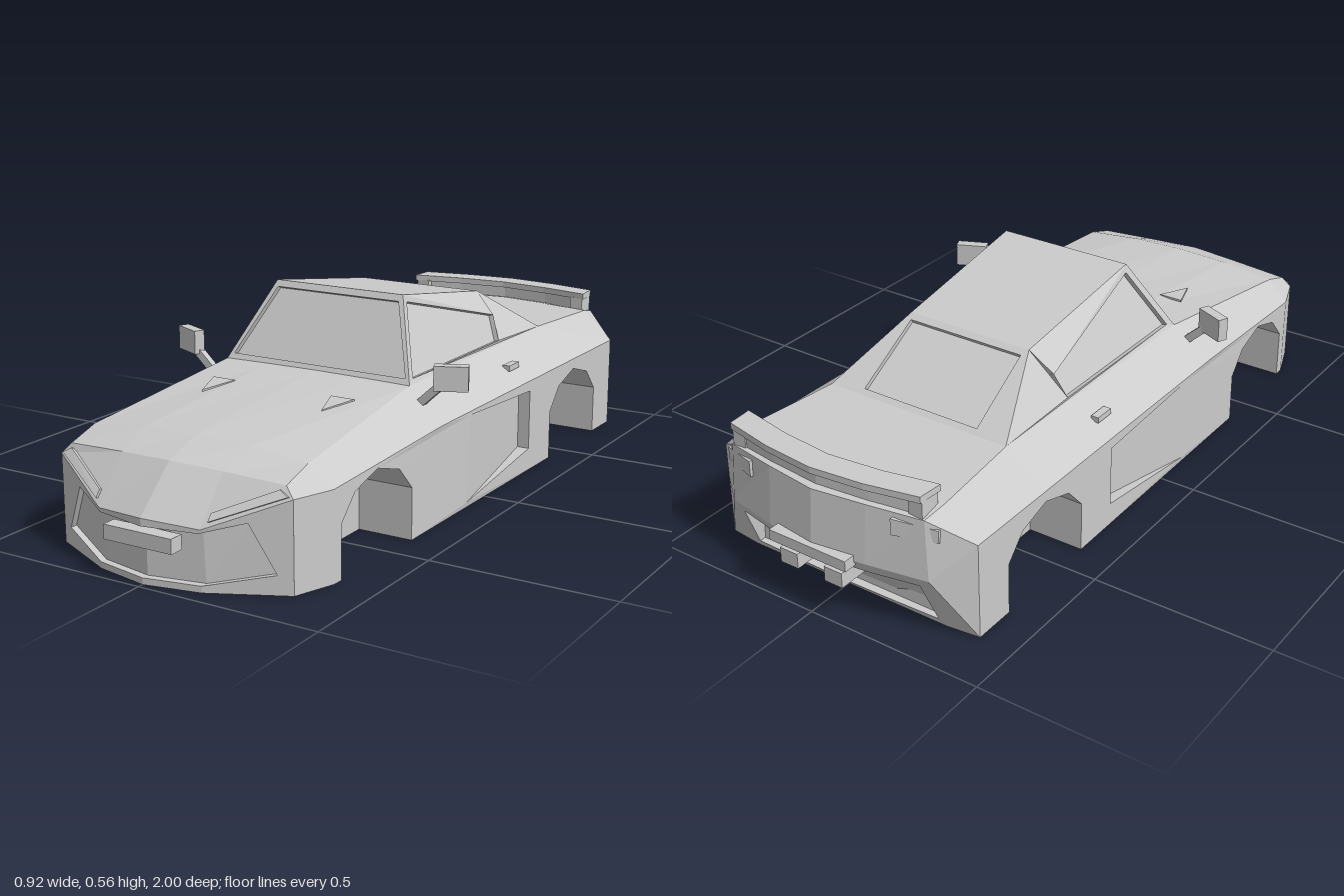
import * as THREE from 'three';

const material = new THREE.MeshStandardMaterial({ color: 0xcccccc, flatShading: true, side: THREE.DoubleSide });

function add(parent, name, geometry, x = 0, y = 0, z = 0) {
  const mesh = new THREE.Mesh(geometry, material);
  mesh.name = name;
  mesh.position.set(x, y, z);
  parent.add(mesh);
  return mesh;
}
const box = (w, h, d) => new THREE.BoxGeometry(w, h, d);

// Flat-faced geometry from four-cornered faces
function fromQuads(quads) {
  const pos = [];
  for (const [a, b, c, d] of quads) pos.push(...a, ...b, ...c, ...a, ...c, ...d);
  const g = new THREE.BufferGeometry();
  g.setAttribute('position', new THREE.Float32BufferAttribute(pos, 3));
  g.computeVertexNormals();
  return g;
}

// Points given from the centre line outwards, completed from -x to +x
const mirror = half => [...half.slice(1).reverse().map(([x, y, z]) => [-x, y, z]), ...half];

// Skin over a series of symmetrical cross-sections
function sheet(halfRows) {
  const rows = halfRows.map(mirror), quads = [];
  for (let i = 0; i < rows.length - 1; i++)
    for (let j = 0; j < rows[i].length - 1; j++)
      quads.push([rows[i][j], rows[i][j + 1], rows[i + 1][j + 1], rows[i + 1][j]]);
  return fromQuads(quads);
}

// Panel between a top and a bottom chain, pushed in or out with its side walls
function panelQuads(top, bottom, off) {
  const move = p => p.map((v, k) => v + off[k]);
  const T = top.map(move), B = bottom.map(move), quads = [];
  const rim = [...top, ...[...bottom].reverse()], face = rim.map(move);
  for (let i = 0; i < T.length - 1; i++) quads.push([B[i], B[i + 1], T[i + 1], T[i]]);
  rim.forEach((p, i) => {
    const k = (i + 1) % rim.length;
    quads.push([p, face[i], face[k], rim[k]]);
  });
  return quads;
}
const panel = (...args) => fromQuads(panelQuads(...args));

// Frame around a recessed panel
function framed(outT, outB, inT, inB, off) {
  const o = [...outT, ...[...outB].reverse()], n = [...inT, ...[...inB].reverse()];
  const ring = o.map((p, i) => {
    const k = (i + 1) % o.length;
    return [p, n[i], n[k], o[k]];
  });
  return fromQuads([...ring, ...panelQuads(inT, inB, off)]);
}

// Lower side wall with wheel arches and a door scoop opening (made on -x)
function sideWall() {
  const s = new THREE.Shape();
  s.moveTo(-0.85, 0);
  for (const c of [-0.57, 0.56])
    for (const [z, y] of [[-0.16, 0], [-0.16, 0.14], [-0.1, 0.205], [0, 0.235], [0.1, 0.205], [0.16, 0.14], [0.16, 0]])
      s.lineTo(c + z, y);
  s.lineTo(0.75, 0);
  s.lineTo(0.75, 0.235);
  s.lineTo(0.25, 0.265);
  s.lineTo(-0.85, 0.265);
  s.holes.push(new THREE.Path([[0.11, 0.015], [0.1, 0.255], [-0.27, 0.235], [-0.27, 0.065]].map(p => new THREE.Vector2(...p))));
  const g = new THREE.ExtrudeGeometry(s, { depth: 0.16, bevelEnabled: false });
  g.rotateY(-Math.PI / 2).translate(-0.24, 0, 0);
  const p = g.attributes.position;
  for (let i = 0; i < p.count; i++)
    if (p.getX(i) < -0.3) p.setX(i, -0.4 + 0.03 * Math.max(0, p.getZ(i) - 0.25));
  g.computeVertexNormals();
  return g;
}

// Horizontal slab from a half plan outline
function slab(half, y, height) {
  const pts = [...half, ...[...half].reverse().map(([x, z]) => [-x, z])];
  const s = new THREE.Shape(pts.map(([x, z]) => new THREE.Vector2(x, -z)));
  return new THREE.ExtrudeGeometry(s, { depth: height, bevelEnabled: false }).rotateX(-Math.PI / 2).translate(0, y, 0);
}

export function createModel() {
  const car = new THREE.Group();
  car.name = 'car';

  // Hood, shoulders, rear deck and upper tail
  add(car, 'upperBody', sheet([
    [[0, 0.165, 0.985], [0.15, 0.155, 0.955], [0.345, 0.235, 0.86], [0.385, 0.235, 0.75]],
    [[0, 0.275, 0.87], [0.15, 0.27, 0.86], [0.32, 0.262, 0.85], [0.385, 0.235, 0.75]],
    [[0, 0.312, 0.76], [0.16, 0.307, 0.76], [0.32, 0.29, 0.76], [0.385, 0.235, 0.75]],
    [[0, 0.353, 0.25], [0.15, 0.352, 0.25], [0.29, 0.35, 0.23], [0.4, 0.265, 0.25]],
    [[0, 0.35, -0.57], [0.15, 0.35, -0.57], [0.28, 0.35, -0.57], [0.4, 0.265, -0.57]],
    [[0, 0.35, -0.9], [0.15, 0.35, -0.88], [0.31, 0.35, -0.85], [0.4, 0.265, -0.85]],
    [[0, 0.34, -0.97], [0.15, 0.34, -0.95], [0.3, 0.335, -0.92], [0.4, 0.265, -0.85]],
    [[0, 0.18, -0.985], [0.15, 0.18, -0.965], [0.31, 0.17, -0.925], [0.4, 0.17, -0.85]],
  ]));

  // Front bumper with sunken intake
  const frontZ = x => (x < 0.15 ? 0.985 - 0.2 * x : 0.955 - (x - 0.15) * 0.487);
  const front = pts => mirror(pts.map(([x, y]) => [x, y, frontZ(x)]));
  add(car, 'frontBumper', framed(
    front([[0, 0.165], [0.15, 0.155], [0.345, 0.235]]), front([[0, 0], [0.15, 0], [0.345, 0]]),
    front([[0, 0.145], [0.145, 0.145], [0.25, 0.175]]), front([[0, 0.017], [0.15, 0.017], [0.31, 0.05]]),
    [0, 0, -0.02]));
  add(car, 'frontPlate', box(0.2, 0.038, 0.04), 0, 0.118, 0.98);

  // Undercut rear bumper with sunken diffuser
  const rearZ = (x, y) => {
    const top = x < 0.15 ? -0.985 + 0.133 * x : -0.965 + (x - 0.15) * 0.25;
    return -0.86 + (top + 0.86) * Math.min(1, y / 0.17);
  };
  const rear = pts => mirror(pts.map(([x, y]) => [x, y, rearZ(x, y)])).reverse();
  add(car, 'rearBumper', framed(
    rear([[0, 0.18], [0.15, 0.18], [0.31, 0.17]]), rear([[0, 0], [0.15, 0], [0.31, 0]]),
    rear([[0, 0.15], [0.15, 0.15], [0.28, 0.145]]), rear([[0, 0.02], [0.15, 0.02], [0.29, 0.02]]),
    [0, 0, 0.035]));
  add(car, 'rearPlate', box(0.24, 0.03, 0.04), 0, 0.18, -0.98);

  // Underside and centre block between the wheel wells
  add(car, 'centreBlock', box(0.48, 0.23, 1.6), 0, 0.115, -0.05);
  add(car, 'frontFloor', sheet([
    [[0, 0, 0.75], [0.15, 0, 0.75], [0.345, 0, 0.75], [0.385, 0, 0.75]],
    [[0, 0, 0.985], [0.15, 0, 0.955], [0.345, 0, 0.86], [0.385, 0, 0.75]],
  ]));
  add(car, 'rearFloor', sheet([[[0, 0, -0.86], [0.31, 0, -0.86], [0.4, 0, -0.85]], [[0, 0, -0.84], [0.31, 0, -0.84], [0.4, 0, -0.84]]]));

  // Cabin corners, roof and windows
  const baseF = [0.29, 0.35, 0.23], roofF = [0.2, 0.56, 0.11], roofR = [0.19, 0.49, -0.34], baseR = [0.28, 0.35, -0.57];
  const pair = p => mirror([p]).concat();
  const across = ([x, y, z]) => [[-x, y, z], [x, y, z]];
  add(car, 'roof', fromQuads([[...across(roofF), ...across(roofR).reverse()]]));
  add(car, 'windshield', framed(across(roofF), across(baseF),
    across([0.192, 0.543, 0.12]), across([0.272, 0.365, 0.221]), [0, -0.006, -0.013]));
  add(car, 'rearWindow', framed(across(roofR).reverse(), across(baseR).reverse(),
    across([0.177, 0.479, -0.358]).reverse(), across([0.18, 0.36, -0.554]).reverse(), [0, -0.01, 0.006]));

  // Tail spoiler with a slot under its blade
  add(car, 'spoilerBlade', slab([[0, -0.9], [0.15, -0.885], [0.3, -0.855], [0.295, -0.925], [0.15, -0.955], [0, -0.97]], 0.382, 0.018));
  add(car, 'spoilerCore', slab([[0, -0.915], [0.15, -0.9], [0.26, -0.88], [0.26, -0.915], [0.15, -0.935], [0, -0.95]], 0.33, 0.055));

  // Everything that exists once per side
  const left = new THREE.Group();
  left.name = 'leftSide';
  add(left, 'sideWall', sideWall()).scale.x = -1;
  add(left, 'doorScoop', fromQuads([[[0.4, 0.015, 0.11], [0.365, 0.065, -0.27], [0.365, 0.235, -0.27], [0.4, 0.255, 0.1]]]));
  add(left, 'frontCorner', fromQuads([[[0.345, 0, 0.86], [0.385, 0, 0.75], [0.385, 0.235, 0.75], [0.345, 0.235, 0.86]]]));
  add(left, 'rearCorner', fromQuads([[[0.4, 0, -0.85], [0.31, 0, -0.86], [0.31, 0.17, -0.925], [0.4, 0.17, -0.85]]]));
  const glass = pts => pts.map(([z, y]) => [0.288 - 0.43 * (y - 0.35), y, z]);
  add(left, 'sideWindow', framed([roofF, roofR], [baseF, baseR],
    glass([[0.1, 0.54], [-0.32, 0.43]]), glass([[0.2, 0.362], [-0.3, 0.362]]), [-0.014, -0.004, 0]));
  add(left, 'headlight', panel([[0.165, 0.188, 0.92], [0.31, 0.25, 0.85]],
    [[0.165, 0.17, 0.935], [0.335, 0.237, 0.855]], [0, 0.004, 0.012]));
  add(left, 'tailLight', panel([[0.33, 0.31, -0.885], [0.22, 0.325, -0.925]],
    [[0.33, 0.275, -0.885], [0.22, 0.28, -0.925]], [0, 0, -0.022]));
  add(left, 'hoodVent', panel([[0.15, 0.336, 0.39], [0.22, 0.336, 0.39]],
    [[0.185, 0.327, 0.49], [0.185, 0.327, 0.49]], [0, 0.006, 0]));
  add(left, 'spoilerEnd', box(0.04, 0.06, 0.06), 0.275, 0.355, -0.89);
  add(left, 'exhaust', box(0.055, 0.042, 0.09), 0.07, 0.125, -0.945);
  add(left, 'doorHandle', box(0.022, 0.016, 0.06), 0.35, 0.307, -0.245);
  add(left, 'mirrorArm', box(0.1, 0.022, 0.02), 0.355, 0.337, 0.24).rotation.z = 0.75;
  add(left, 'mirrorHousing', box(0.09, 0.066, 0.03), 0.412, 0.388, 0.23).rotation.y = 0.42;
  const right = left.clone();
  right.name = 'rightSide';
  right.scale.x = -1;
  car.add(left, right);
  return car;
}
